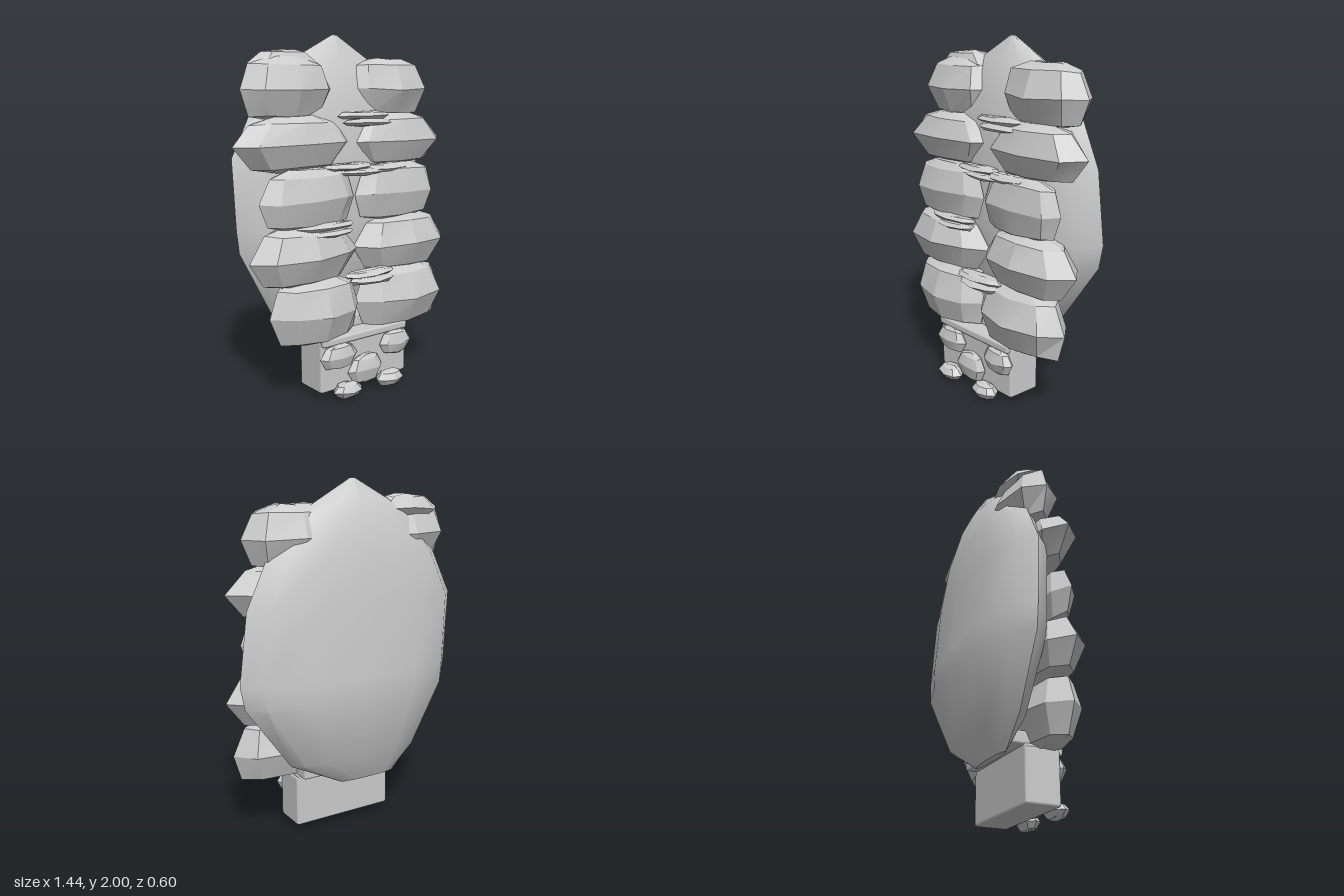
import * as THREE from 'three';
import { toCreasedNormals, mergeVertices } from 'three/addons/utils/BufferGeometryUtils.js';
import { RoundedBoxGeometry } from 'three/addons/geometries/RoundedBoxGeometry.js';

const stone = new THREE.MeshStandardMaterial({ color: 0xcccccc });
stone.name = 'pale grey stone';

// Small seeded generator for the chipped, uneven corners
let seed = 7;
const rand = () => {
  seed = (seed * 16807) % 2147483647;
  return (seed / 2147483647) * 2 - 1;
};

// Closed solid from stacked elliptical rings: { y, cx, cz, rx, front, back }
function stacked(rings, sides, jitter, crease) {
  const pos = [];
  const index = [];
  for (const r of rings) {
    for (let i = 0; i < sides; i++) {
      const a = ((i + 0.001) / sides) * Math.PI * 2;
      const c = Math.cos(a);
      const s = Math.sin(a);
      const k = 1 + jitter * rand();
      pos.push(
        r.cx + c * r.rx * k,
        r.y + jitter * 0.12 * rand(),
        r.cz + s * (s > 0 ? r.front : r.back) * k
      );
    }
  }
  for (let j = 0; j < rings.length - 1; j++) {
    for (let i = 0; i < sides; i++) {
      const n = (i + 1) % sides;
      const a = j * sides + i, b = j * sides + n;
      index.push(a, a + sides, b, b, a + sides, b + sides);
    }
  }
  // End caps
  const last = (rings.length - 1) * sides;
  for (let i = 1; i < sides - 1; i++) {
    index.push(0, i, i + 1, last, last + i + 1, last + i);
  }
  let g = new THREE.BufferGeometry();
  g.setAttribute('position', new THREE.Float32BufferAttribute(pos, 3));
  g.setIndex(index);
  g = mergeVertices(g, 1e-4);
  return toCreasedNormals(g, crease);
}

// Faceted boulder filling a box; end = how far the top and bottom edges reach outwards
function boulder(x0, x1, y0, y1, z0, z1, end = 0.78, jitter = 0.06) {
  const cx = (x0 + x1) / 2, rx = (x1 - x0) / 2;
  const cz = (z0 + z1) / 2, rz = (z1 - z0) / 2;
  const profile = [[0, end * 0.5, 0.3], [0.07, end, 0.62], [0.48, 1, 1], [0.88, end, 0.68], [1, end * 0.5, 0.3]];
  const rings = profile.map(([t, sx, sz]) => ({
    y: y0 + t * (y1 - y0), cx, cz, rx: rx * sx, front: rz * sz, back: rz * sz,
  }));
  return stacked(rings, 8, jitter, 0.35);
}

export function createModel() {
  const model = new THREE.Group();
  const add = (name, geometry, parent = model) => {
    const mesh = new THREE.Mesh(geometry, stone);
    mesh.name = name;
    parent.add(mesh);
    return mesh;
  };
  const group = (name) => {
    const g = new THREE.Group();
    g.name = name;
    model.add(g);
    return g;
  };

  // Tall smooth slab behind the boulders: y, centre x, half width, front reach, back reach
  const slab = [
    [0.29, -0.08, 0.18, 0.02, 0.02],
    [0.45, 0.0, 0.42, 0.12, 0.1],
    [0.82, 0.035, 0.65, 0.19, 0.19],
    [0.95, 0.04, 0.67, 0.2, 0.185],
    [1.34, 0.005, 0.655, 0.2, 0.17],
    [1.6, 0.01, 0.53, 0.17, 0.145],
    [1.82, 0.01, 0.34, 0.1, 0.11],
    [1.89, 0.01, 0.22, 0.06, 0.075],
    [2.0, 0.02, 0.015, 0.01, 0.01],
  ].map(([y, cx, rx, front, back]) => ({ y, cx, cz: -0.11 + (y > 1.8 ? 0.01 : 0), rx, front, back }));
  add('backSlab', stacked(slab, 12, 0, 0.7));

  // Five rows of paired boulders: y0, y1, z0, z1, right x0 x1, left x0 x1, end reach
  const boulders = group('boulderRows');
  const rows = [
    [0.32, 0.68, -0.04, 0.27, -0.56, 0.03, 0.02, 0.66, 0.84],
    [0.65, 0.98, -0.07, 0.24, -0.67, 0.03, 0.02, 0.71, 0.74],
    [0.96, 1.28, 0.0, 0.2, -0.61, 0.0, 0.02, 0.62, 0.84],
    [1.27, 1.56, -0.11, 0.17, -0.72, 0.03, -0.02, 0.71, 0.72],
    [1.54, 1.87, -0.2, 0.12, -0.63, -0.06, 0.04, 0.65, 0.82],
  ];
  rows.forEach(([y0, y1, z0, z1, a0, a1, b0, b1, end], i) => {
    add('rightBoulder' + (i + 1), boulder(a0, a1, y0, y1, z0, z1, end), boulders);
    add('leftBoulder' + (i + 1), boulder(b0, b1, y0, y1, z0, z1, end), boulders);
  });
  // Shallow crest on the upper right boulder
  add('rightCrest', boulder(-0.57, -0.1, 1.76, 1.91, -0.18, 0.03, 0.6), boulders);

  // Thin flakes wedged between the rows: x0, x1, y0, y1, front z
  const flakes = group('flakes');
  [
    [-0.08, 0.29, 1.535, 1.575, 0.14],
    [-0.05, 0.3, 1.495, 1.535, 0.15],
    [-0.21, 0.14, 1.255, 1.295, 0.17],
    [-0.12, 0.22, 1.225, 1.26, 0.185],
    [0.06, 0.4, 1.23, 1.28, 0.18],
    [-0.41, -0.02, 0.945, 0.985, 0.21],
    [-0.36, -0.04, 0.91, 0.945, 0.22],
    [-0.12, 0.24, 0.655, 0.69, 0.25],
    [-0.09, 0.23, 0.615, 0.66, 0.26],
  ].forEach(([x0, x1, y0, y1, z]) => add('flake', boulder(x0, x1, y0, y1, z - 0.14, z, 0.85, 0.04), flakes));

  // Bevelled block at the foot, with its ledge and rear lip
  const block = (name, x0, x1, y0, y1, z0, z1, bevel) => {
    const g = new RoundedBoxGeometry(x1 - x0, y1 - y0, z1 - z0, 1, bevel);
    add(name, g).position.set((x0 + x1) / 2, (y0 + y1) / 2, (z0 + z1) / 2);
  };
  block('footBlock', -0.29, 0.335, 0.03, 0.33, -0.015, 0.19, 0.015);
  block('footLedge', -0.285, 0.325, 0.3, 0.345, -0.015, 0.21, 0.012);
  block('rearLip', -0.28, 0.32, 0.335, 0.41, -0.08, 0.1, 0.012);

  // Pebbles on and in front of the block: x, y, z, half sizes
  const pebbles = group('pebbles');
  [
    [-0.175, 0.235, 0.2, 0.13, 0.07, 0.05],
    [0.24, 0.235, 0.2, 0.12, 0.07, 0.05],
    [0.01, 0.125, 0.205, 0.125, 0.08, 0.045],
    [-0.14, 0.042, 0.24, 0.095, 0.04, 0.058],
    [0.17, 0.042, 0.24, 0.095, 0.042, 0.06],
  ].forEach(([x, y, z, a, b, c]) =>
    add('pebble', boulder(x - a, x + a, y - b, y + b, z - c, z + c, 0.7, 0.04), pebbles));

  return model;
}
